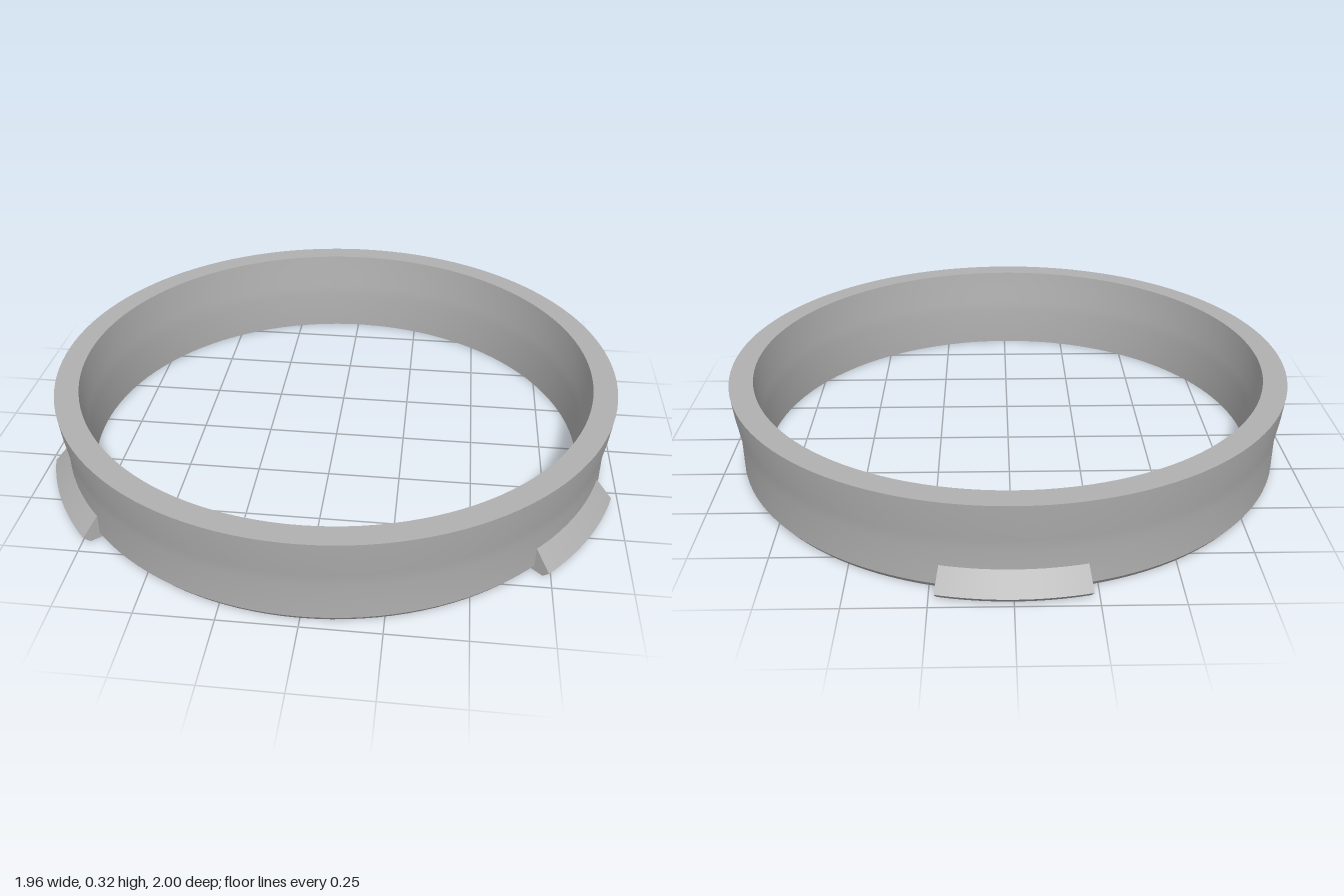
import * as THREE from 'three';
import { toCreasedNormals } from 'three/addons/utils/BufferGeometryUtils.js';

const CREASE = 0.4;

export function createModel() {
  const group = new THREE.Group();
  const grey = new THREE.MeshStandardMaterial({ color: 0xb0b0b0 });
  grey.name = 'grey';

  // Flared ring: closed wall section turned about the axis
  const section = [
    [0.945, 0], [0.96, 0.02], [0.96, 0.145], [0.966, 0.19], [0.975, 0.25], [0.982, 0.318],
    [0.9, 0.318], [0.893, 0.25], [0.885, 0.19], [0.88, 0.145], [0.88, 0], [0.945, 0],
  ].map(([r, y]) => new THREE.Vector2(r, y));
  const ring = new THREE.Mesh(toCreasedNormals(new THREE.LatheGeometry(section, 128), CREASE), grey);
  ring.name = 'ring';
  group.add(ring);

  // Wedge-shaped locking tab: a section extruded along an angle, then bent round the ring
  const half = THREE.MathUtils.degToRad(13.2);
  const shape = new THREE.Shape([
    [0.93, 0], [0.994, 0], [1.017, 0.024], [0.96, 0.088], [0.93, 0.088],
  ].map(([r, y]) => new THREE.Vector2(r, y)));
  const bent = new THREE.ExtrudeGeometry(shape, { depth: 2 * half, steps: 16, bevelEnabled: false });
  const pos = bent.attributes.position;
  for (let i = 0; i < pos.count; i++) {
    const r = pos.getX(i), a = pos.getZ(i) - half;
    pos.setXYZ(i, r * Math.cos(a), pos.getY(i), r * Math.sin(a));
  }
  const tabGeometry = toCreasedNormals(bent, CREASE);

  // Three tabs, evenly spaced, one at the back
  ['backTab', 'rightTab', 'leftTab'].forEach((name, i) => {
    const tab = new THREE.Mesh(tabGeometry, grey);
    tab.name = name;
    tab.rotation.y = Math.PI / 2 + i * Math.PI * 2 / 3;
    group.add(tab);
  });

  // Centre the footprint, since only the back tab reaches past the rim in z
  group.position.z = 0.0175;
  return group;
}
